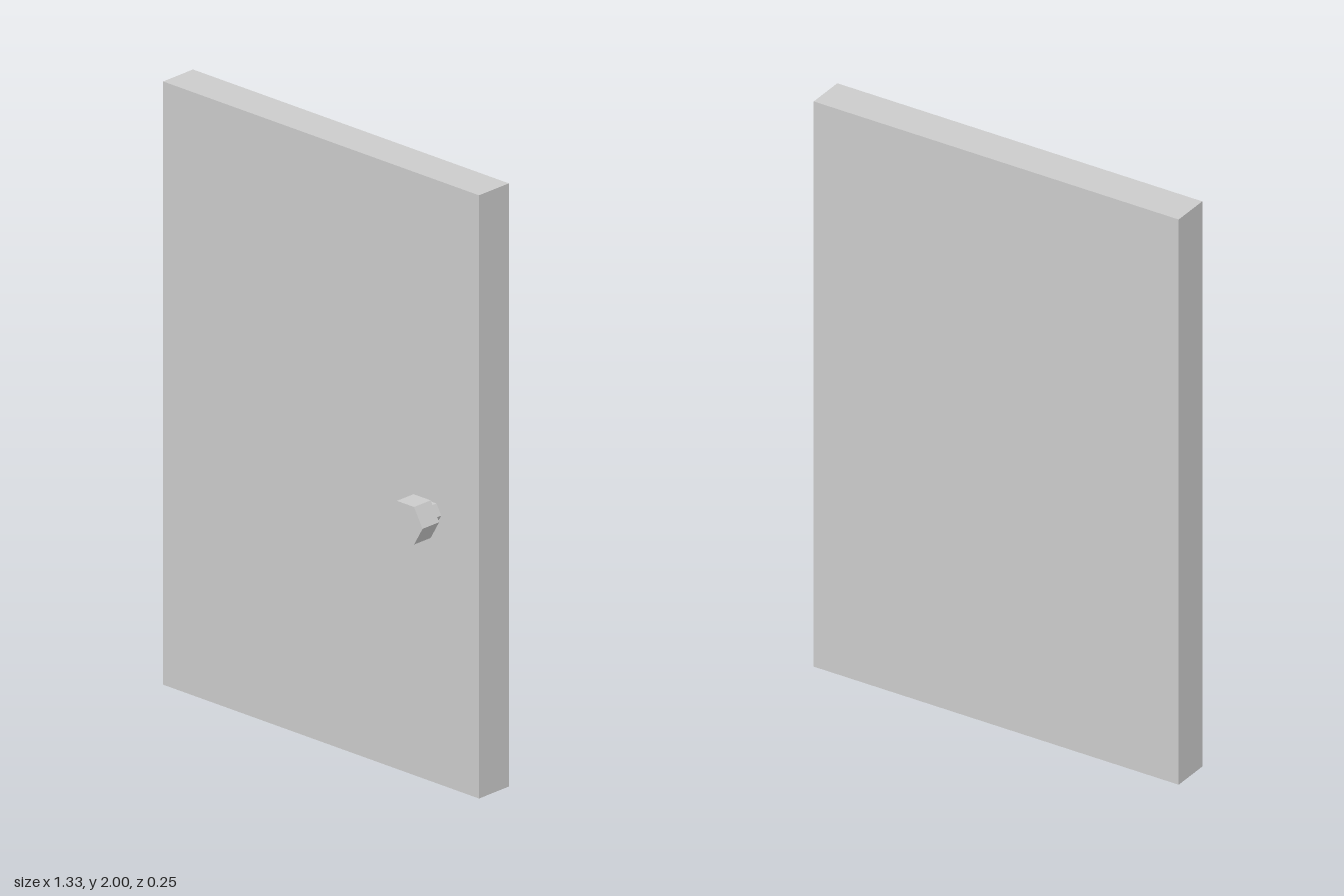
import * as THREE from 'three';

export function createModel() {
  const model = new THREE.Group();
  const material = new THREE.MeshStandardMaterial({ color: 0xcccccc, flatShading: true });

  // Plain slab
  const panel = new THREE.Mesh(new THREE.BoxGeometry(1.333, 2, 0.133), material);
  panel.name = 'doorPanel';
  panel.position.set(0, 1, -0.0585);
  model.add(panel);

  // Six-sided knob: neck, shallow flare, head and flat front, as (radius, z)
  const profile = [
    [0.04, 0], [0.04, 0.044], [0.072, 0.051], [0.072, 0.125], [0, 0.125],
  ].map(([r, z]) => new THREE.Vector2(r, z));
  const knobGeometry = new THREE.LatheGeometry(profile, 6, Math.PI / 2);
  knobGeometry.rotateX(Math.PI / 2);
  const knob = new THREE.Mesh(knobGeometry, material);
  knob.name = 'doorKnob';
  knob.position.set(0.467, 0.893, 0);
  model.add(knob);

  return model;
}
